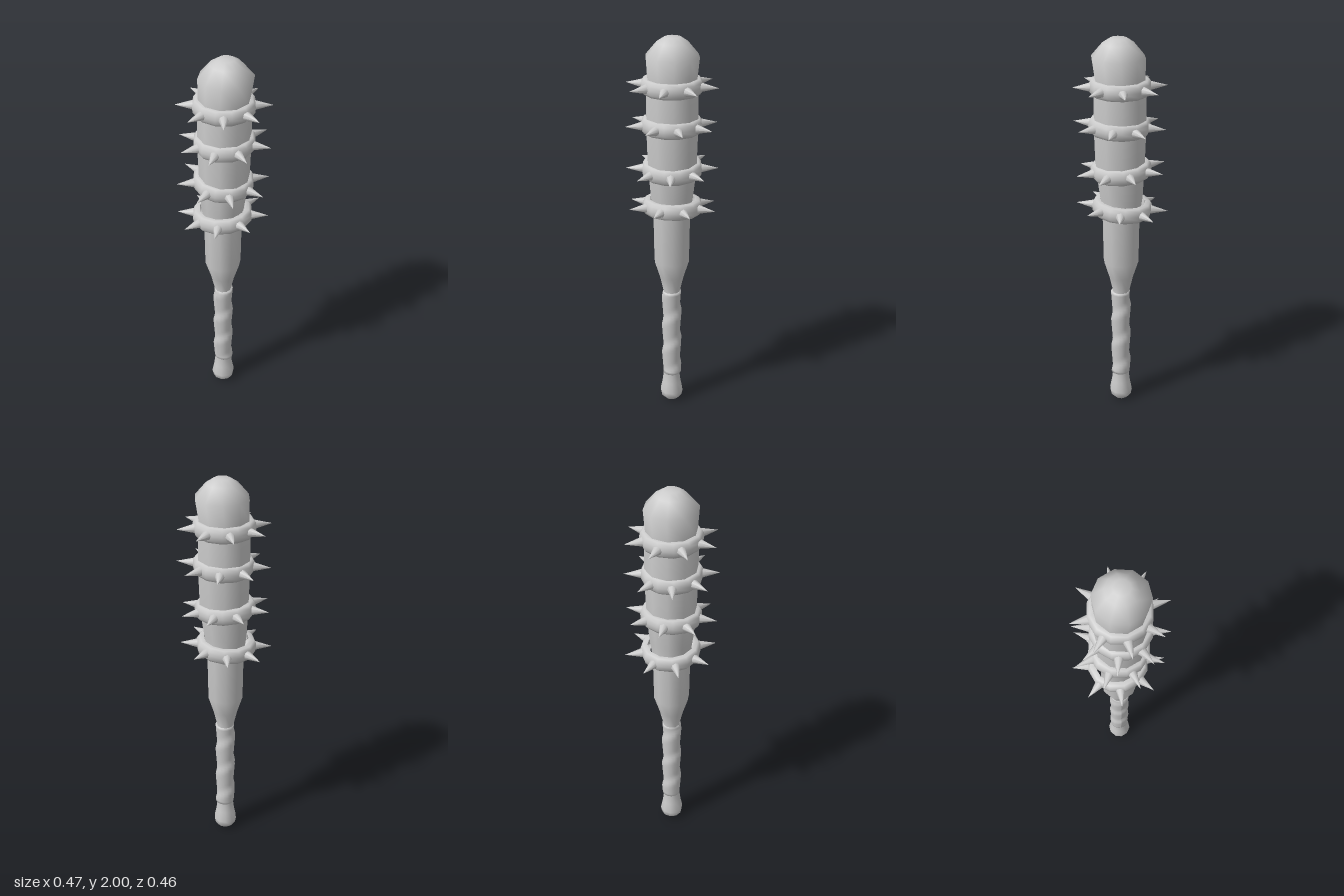
import * as THREE from 'three';

const grey = new THREE.MeshStandardMaterial({ color: 0xcccccc, side: THREE.DoubleSide });

function add(parent, geometry, name) {
  const mesh = new THREE.Mesh(geometry, grey);
  mesh.name = name;
  parent.add(mesh);
  return mesh;
}

// Lathe from [radius, height] pairs
function lathe(profile, sides) {
  return new THREE.LatheGeometry(profile.map(([r, y]) => new THREE.Vector2(r, y)), sides);
}

// Wooden club: pommel, thin grip, swelling barrel and domed end
function clubGeometry() {
  const geo = lathe([
    [0, 0], [0.035, 0.005], [0.055, 0.025], [0.061, 0.055], [0.05, 0.11], [0.043, 0.17],
    [0.041, 0.4], [0.043, 0.66], [0.064, 0.75], [0.092, 0.84], [0.096, 1.1],
    [0.11, 1.2], [0.124, 1.34], [0.131, 1.55], [0.13, 1.72], [0.124, 1.8],
    [0.133, 1.91], [0.078, 1.975], [0.04, 2], [0, 2],
  ], 10);
  // slight hand-carved lean of the barrel
  const p = geo.attributes.position;
  for (let i = 0; i < p.count; i++) {
    const y = p.getY(i);
    const lean = y > 1.85 ? 0.009 : y > 1.3 ? 0.002 : -0.004;
    p.setXYZ(i, p.getX(i) + lean, y, p.getZ(i) - lean * 0.6);
  }
  geo.computeBoundingSphere();
  return geo;
}

// Spiral grip wrap: overlapping turns, each swelling towards its upper edge
function wrapGeometry() {
  const rows = 36, y0 = 0.17, y1 = 0.66, pitch = 0.165;
  const profile = [[0.038, y0]];
  for (let i = 0; i <= rows; i++) profile.push([0.05, y0 + (y1 - y0) * i / rows]);
  profile.push([0.038, y1]);
  const geo = lathe(profile, 16);
  const p = geo.attributes.position;
  const perRow = profile.length;
  for (let i = 0; i < p.count; i++) {
    const row = i % perRow;
    if (row === 0 || row === perRow - 1) continue;
    const turn = Math.floor(i / perRow) / 16;
    const t = (((p.getY(i) / pitch - turn) % 1) + 1) % 1;
    const swell = t < 0.75 ? t / 0.75 : (1 - t) / 0.25;
    const k = (0.044 + 0.009 * swell) / 0.05;
    p.setXYZ(i, p.getX(i) * k, p.getY(i), p.getZ(i) * k);
  }
  geo.computeVertexNormals();
  geo.translate(-0.004, 0, 0.002);
  return geo;
}

// Band with eight spikes pointing outwards
function spikedBand(y, x, tilt, offsetDegrees) {
  const band = new THREE.Group();
  band.name = 'spikedBand';
  band.position.set(x, y, 0);
  band.rotation.z = tilt;
  const h = 0.037;
  add(band, lathe([[0.115, -h], [0.138, -h], [0.149, -0.022], [0.152, 0],
    [0.149, 0.022], [0.138, h], [0.115, h]], 12), 'band');

  const spike = new THREE.ConeGeometry(0.027, 0.1, 8);
  spike.rotateX(Math.PI / 2);
  spike.translate(0, 0, 0.181);
  for (let i = 0; i < 8; i++) {
    const mesh = add(band, spike, 'spike');
    mesh.rotation.y = THREE.MathUtils.degToRad(offsetDegrees + i * 45);
  }
  return band;
}

export function createModel() {
  const model = new THREE.Group();
  model.name = 'spikedClub';
  add(model, clubGeometry(), 'club');
  add(model, wrapGeometry(), 'gripWrap');

  // height, x shift, tilt, spike offset
  const bands = [
    [1.765, 0, 0, 0],
    [1.57, 0.004, 0.03, -18],
    [1.343, -0.004, -0.06, 12],
    [1.14, -0.01, 0.08, -9],
  ];
  for (const b of bands) model.add(spikedBand(...b));
  return model;
}
